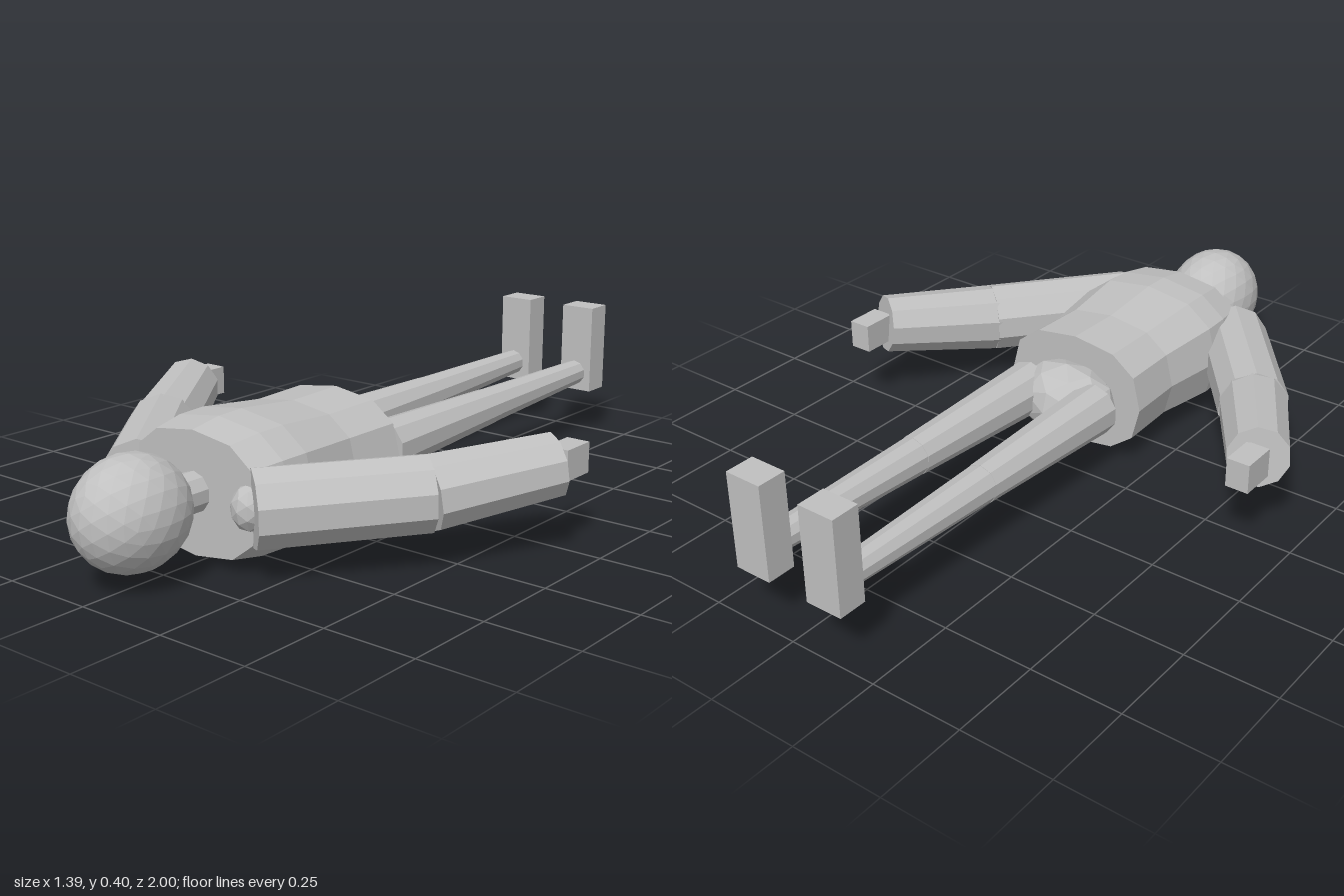
import * as THREE from 'three';

export function createModel() {
  const model = new THREE.Group();
  model.name = 'lyingFigure';
  const grey = new THREE.MeshStandardMaterial({ color: 0xc0c0c0 });
  grey.name = 'plainGrey';
  grey.flatShading = true;

  const add = (name, geometry) => {
    const mesh = new THREE.Mesh(geometry, grey);
    mesh.name = name;
    model.add(mesh);
    return mesh;
  };

  // Faceted ellipsoid
  const ball = (name, pos, radii, detail) => {
    const mesh = add(name, new THREE.IcosahedronGeometry(1, detail));
    mesh.position.set(...pos);
    mesh.scale.set(...radii);
  };

  // Tapered limb segment between two points
  const limb = (name, from, to, r0, r1, sides = 10) => {
    const a = new THREE.Vector3(...from), b = new THREE.Vector3(...to);
    const dir = b.clone().sub(a);
    const mesh = add(name, new THREE.CylinderGeometry(r1, r0, dir.length(), sides));
    mesh.position.copy(a).add(b).multiplyScalar(0.5);
    mesh.quaternion.setFromUnitVectors(new THREE.Vector3(0, 1, 0), dir.normalize());
  };

  const block = (name, pos, size) => add(name, new THREE.BoxGeometry(...size)).position.set(...pos);

  // Torso: a lathe along z, squared off slightly and flattened
  const profile = [[0, 0.11], [0.215, 0.11], [0.21, 0.28], [0.235, 0.47], [0.232, 0.55], [0.212, 0.64], [0, 0.64]]
    .map(([r, z]) => new THREE.Vector2(r, z));
  const torso = new THREE.LatheGeometry(profile, 12);
  const p = torso.attributes.position;
  for (let i = 0; i < p.count; i++) {
    const x = p.getX(i), z = p.getZ(i), r = Math.hypot(x, z);
    if (r < 1e-6) continue;
    const square = (v) => Math.sign(v) * r * Math.pow(Math.abs(v) / r, 0.8);
    p.setX(i, square(x));
    p.setZ(i, square(z) * 0.75);
  }
  torso.rotateX(Math.PI / 2);
  add('torso', torso).position.y = 0.183;

  // Head, neck and pelvis
  ball('head', [0, 0.188, 0.843], [0.131, 0.143, 0.157], 3);
  limb('neck', [0, 0.188, 0.62], [0, 0.188, 0.74], 0.052, 0.052);
  ball('pelvis', [0, 0.172, 0.07], [0.15, 0.105, 0.11], 1);

  // Paired limbs
  for (const [side, s] of [['left', 1], ['right', -1]]) {
    ball(side + 'Shoulder', [s * 0.177, 0.182, 0.63], [0.05, 0.06, 0.05], 1);
    limb(side + 'UpperArm', [s * 0.19, 0.185, 0.64], [s * 0.452, 0.192, 0.308], 0.1, 0.098);
    limb(side + 'Forearm', [s * 0.452, 0.192, 0.308], [s * 0.626, 0.23, 0.027], 0.096, 0.083);
    block(side + 'Hand', [s * 0.628, 0.23, -0.03], [0.064, 0.08, 0.1]);

    limb(side + 'Thigh', [s * 0.108, 0.183, -0.05 + 0.1], [s * 0.11, 0.194, -0.44], 0.073, 0.053);
    limb(side + 'Shin', [s * 0.11, 0.194, -0.44], [s * 0.113, 0.205, -0.912], 0.052, 0.037);
    block(side + 'Foot', [s * 0.112, 0.279, -0.96], [0.104, 0.262, 0.08]);
  }
  return model;
}
